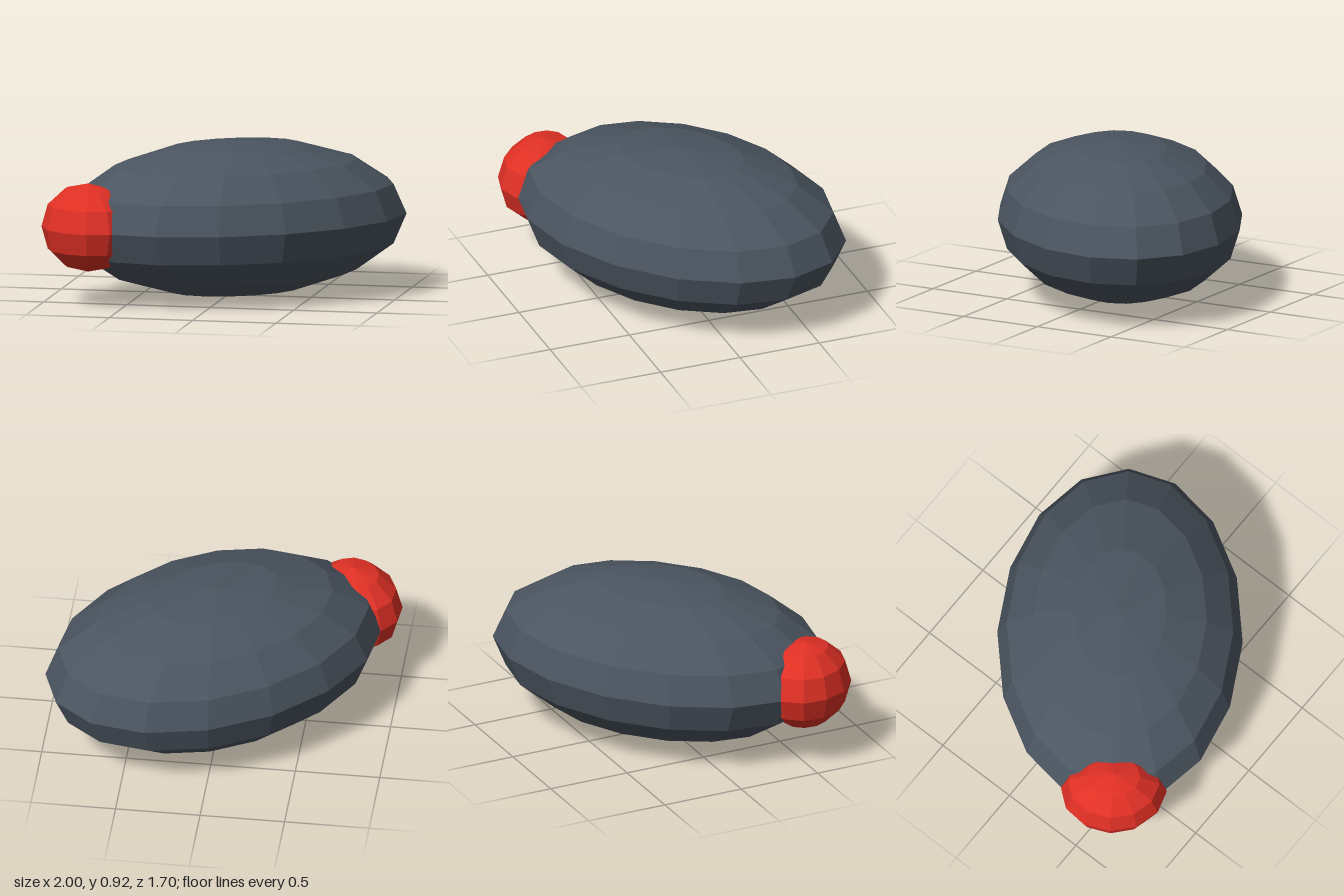
import * as THREE from 'three';

// Faceted ellipsoid: a sphere whose horizontal axes are given as [x, z] vectors
function ellipsoid(name, material, sides, rings, center, axisX, height, axisZ) {
  const matrix = new THREE.Matrix4().makeBasis(
    new THREE.Vector3(axisX[0], 0, axisX[1]),
    new THREE.Vector3(0, height, 0),
    new THREE.Vector3(axisZ[0], 0, axisZ[1])
  );
  const geometry = new THREE.SphereGeometry(1, sides, rings).applyMatrix4(matrix).toNonIndexed();
  geometry.computeVertexNormals(); // one normal per face
  const mesh = new THREE.Mesh(geometry, material);
  mesh.name = name;
  mesh.position.set(...center);
  return mesh;
}

export function createModel() {
  const slate = new THREE.MeshStandardMaterial({ color: 0x4b5560 });
  slate.name = 'slate grey';
  const red = new THREE.MeshStandardMaterial({ color: 0xe03025 });
  red.name = 'bright red';

  const model = new THREE.Group();
  model.name = 'pebbleWithRedTip';

  // Large flattened body, turned diagonally
  model.add(ellipsoid('body', slate, 16, 8, [0.045, 0.463, -0.005],
    [0.855, -0.617], 0.461, [0.424, 0.583]));

  // Small red tip sunk into the front right end
  model.add(ellipsoid('redTip', red, 12, 6, [-0.72, 0.463, 0.56],
    [0.28, 0], 0.262, [0.05, 0.29]));

  return model;
}
